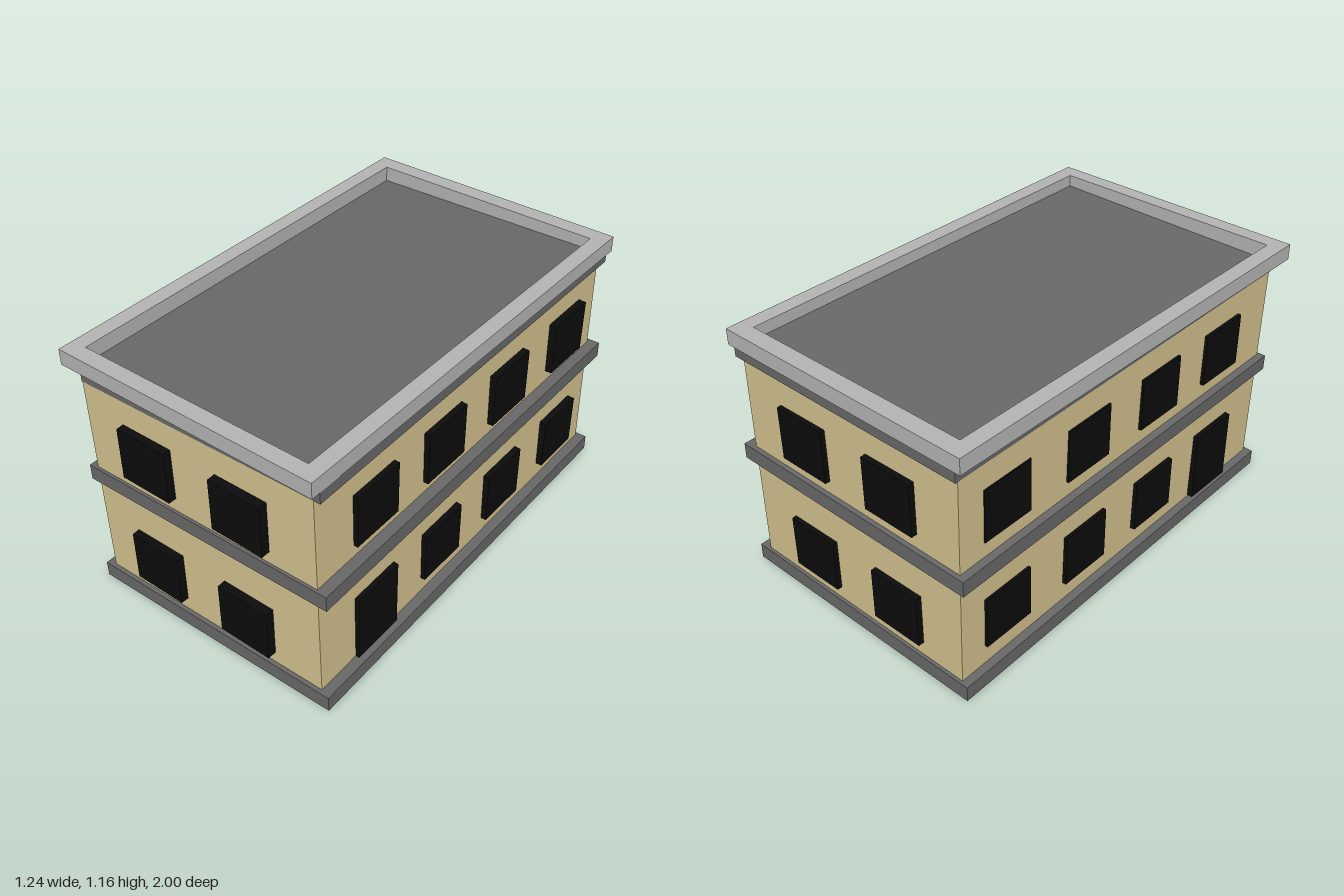
import * as THREE from 'three';

const mat = (color) => new THREE.MeshStandardMaterial({ color });

export function createModel() {
  const model = new THREE.Group();
  const wallMat = mat(0xd3c28e);
  const bandMat = mat(0x686868);
  const parapetMat = mat(0xb4b4b4);
  const glassMat = mat(0x0c0c0c);

  function box(name, material, size, pos) {
    const mesh = new THREE.Mesh(new THREE.BoxGeometry(...size), material);
    mesh.name = name;
    mesh.position.set(...pos);
    model.add(mesh);
    return mesh;
  }

  // Walls and bands lean and turn slightly
  const shell = [
    box('walls', wallMat, [1.12, 1.02, 1.93], [-0.002, 0.565, -0.004]),
    box('baseSlab', bandMat, [1.203, 0.07, 1.963], [0.01, 0.046, -0.002]),
    box('middleBand', bandMat, [1.203, 0.07, 1.963], [0.005, 0.583, -0.008]),
    box('roofSlab', bandMat, [1.153, 0.07, 1.945], [0.005, 1.072, -0.01]),
  ];
  for (const part of shell) part.rotation.set(0, 0.008, 0.0145);

  // Parapet frame around the sunken roof
  const rect = (target, x0, x1, y0, y1) => {
    target.moveTo(x0, y0);
    target.lineTo(x1, y0);
    target.lineTo(x1, y1);
    target.lineTo(x0, y1);
    target.closePath();
    return target;
  };
  const outline = rect(new THREE.Shape(), -0.625, 0.59, -1, 1);
  outline.holes.push(rect(new THREE.Path(), -0.555, 0.52, -0.93, 0.925));
  const parapet = new THREE.Mesh(
    new THREE.ExtrudeGeometry(outline, { depth: 0.07, bevelEnabled: false }),
    parapetMat
  );
  parapet.name = 'parapet';
  parapet.rotation.x = -Math.PI / 2;
  parapet.position.y = 1.097;
  model.add(parapet);

  // Front and back windows: two per floor
  for (const y of [0.26, 0.798]) {
    for (const x of [-0.24, 0.223]) {
      box('frontWindow', glassMat, [0.244, 0.237, 0.06], [x, y, 0.968]);
      box('backWindow', glassMat, [0.244, 0.237, 0.06], [x, y, -0.962]);
    }
  }

  // Side windows: four per floor, with a door at the front of the lower floor
  for (const side of [-1, 1]) {
    for (const upper of [false, true]) {
      const x = side < 0 ? -0.547 : upper ? 0.551 : 0.557;
      for (const z of [0.624, 0.19, -0.26, -0.717]) {
        const isDoor = !upper && z > 0.5;
        if (isDoor) box('door', glassMat, [0.06, 0.325, 0.245], [x, 0.243, z]);
        else box('sideWindow', glassMat, [0.06, 0.237, 0.245], [x, upper ? 0.798 : 0.283, z]);
      }
    }
  }
  return model;
}
